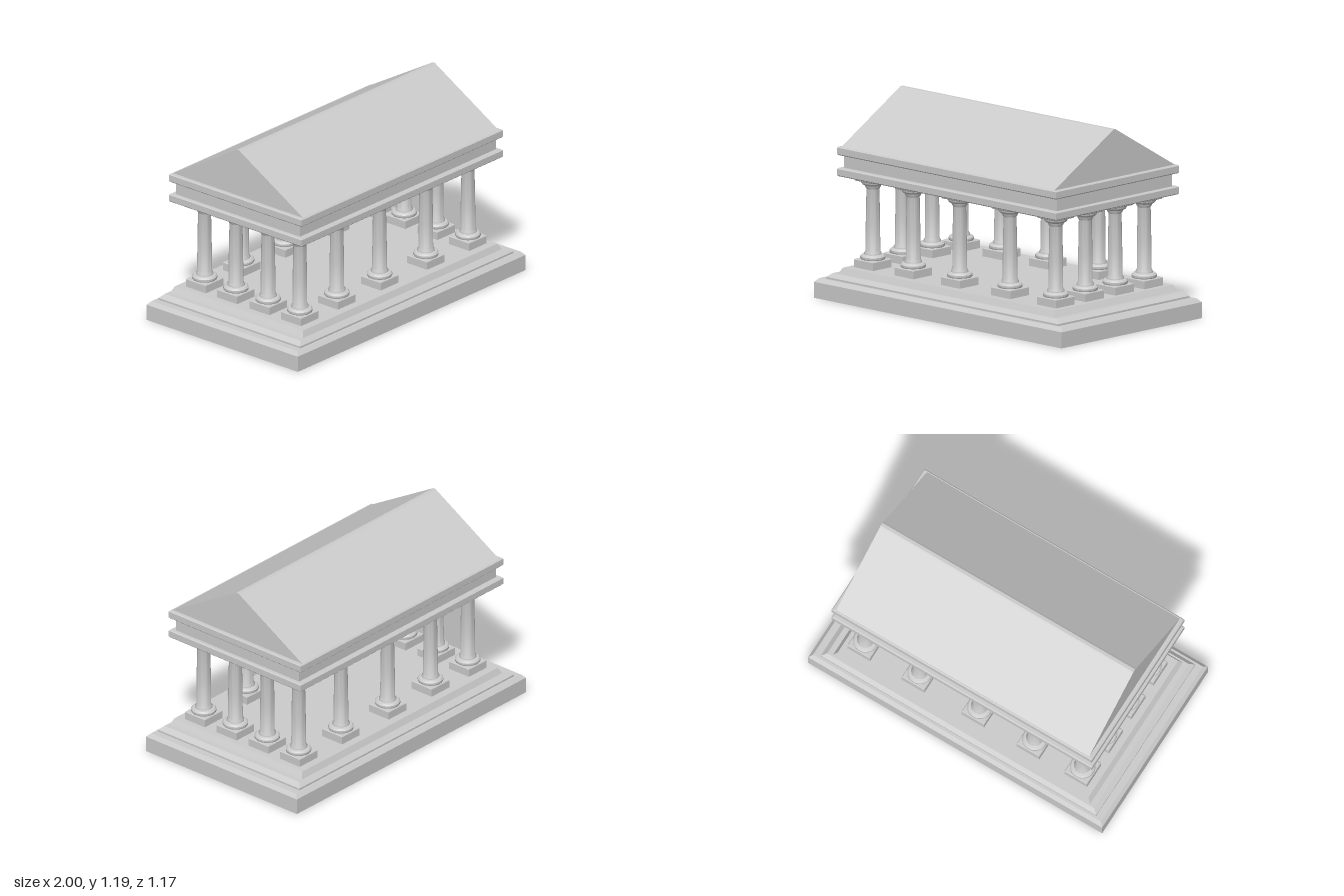
import * as THREE from 'three';
import { toCreasedNormals } from 'three/addons/utils/BufferGeometryUtils.js';

const material = new THREE.MeshStandardMaterial({ color: 0xcccccc });
const openMaterial = new THREE.MeshStandardMaterial({ color: 0xcccccc, side: THREE.DoubleSide });

// Stack of rectangles [halfX, halfZ, y], listed bottom to top, joined by flat faces
function rectLoft(rings, closedBottom = true) {
  const pos = [];
  const corners = ([x, z, y]) => [[x, y, z], [x, y, -z], [-x, y, -z], [-x, y, z]];
  const quad = (a, b, c, d) => pos.push(...a, ...b, ...c, ...a, ...c, ...d);
  for (let i = 0; i < rings.length - 1; i++) {
    const lo = corners(rings[i]), hi = corners(rings[i + 1]);
    for (let k = 0; k < 4; k++) {
      const n = (k + 1) % 4;
      quad(lo[k], lo[n], hi[n], hi[k]);
    }
  }
  quad(...corners(rings[rings.length - 1]));
  if (closedBottom) quad(...corners(rings[0]).reverse());
  const geo = new THREE.BufferGeometry();
  geo.setAttribute('position', new THREE.Float32BufferAttribute(pos, 3));
  geo.computeVertexNormals();
  return geo;
}

function part(name, geometry, parent, mat = material) {
  const mesh = new THREE.Mesh(geometry, mat);
  mesh.name = name;
  parent.add(mesh);
  return mesh;
}

// Slab with softly chamfered edges
function slab(hx, hz, y0, y1) {
  const c = 0.006;
  return rectLoft([
    [hx - c, hz - c, y0], [hx, hz, y0 + c], [hx, hz, y1 - c], [hx - c, hz - c, y1],
  ]);
}

export function createModel() {
  const model = new THREE.Group();
  model.name = 'temple';

  // Stepped base, a hollow shell open underneath
  part('steppedBase', rectLoft([
    [1, 0.583, 0], [1, 0.583, 0.095], [0.98, 0.562, 0.117],
    [0.937, 0.546, 0.117], [0.937, 0.546, 0.128], [0.908, 0.522, 0.151],
    [0.875, 0.511, 0.151], [0.852, 0.495, 0.188],
  ], false), model, openMaterial);

  // Column pieces, shared by all columns
  const plinthGeo = rectLoft([[0.077, 0.077, 0.186], [0.077, 0.077, 0.234], [0.073, 0.073, 0.239]]);
  const abacusGeo = rectLoft([[0.071, 0.071, 0.701], [0.076, 0.076, 0.706], [0.076, 0.076, 0.73]]);
  const profile = [
    [0, 0.238], [0.07, 0.238], [0.074, 0.244], [0.074, 0.256], [0.066, 0.265],
    [0.051, 0.268], [0.051, 0.275], [0.043, 0.288], [0.042, 0.45], [0.038, 0.655],
    [0.046, 0.668], [0.048, 0.676], [0.06, 0.681], [0.068, 0.69], [0.07, 0.703], [0, 0.703],
  ].map(([r, y]) => new THREE.Vector2(r, y));
  const shaftGeo = toCreasedNormals(new THREE.LatheGeometry(profile, 28), 0.6);

  // Colonnade around the edge of the floor
  const colonnade = new THREE.Group();
  colonnade.name = 'colonnade';
  model.add(colonnade);
  const xs = [-0.735, -0.41, -0.035, 0.372, 0.742];
  const zs = [-0.368, -0.126, 0.121, 0.366];
  xs.forEach((x, i) => zs.forEach((z, j) => {
    if (i % 4 !== 0 && j % 3 !== 0) return;
    const column = new THREE.Group();
    column.name = 'column';
    column.position.set(x, 0, z);
    part('plinth', plinthGeo, column);
    part('shaft', shaftGeo, column);
    part('abacus', abacusGeo, column);
    colonnade.add(column);
  }));

  // Entablature
  part('architrave', slab(0.885, 0.511, 0.727, 0.776), model);
  part('frieze', rectLoft([[0.86, 0.477, 0.77], [0.86, 0.477, 0.857]]), model);
  part('cornice', slab(0.885, 0.511, 0.852, 0.902), model);

  // Gabled roof with a slightly blunted ridge, extruded along x
  const gable = new THREE.Shape([
    [-0.503, 0.9], [0.503, 0.9], [0.02, 1.18], [0.01, 1.187], [-0.01, 1.187], [-0.02, 1.18],
  ].map(([z, y]) => new THREE.Vector2(z, y)));
  const roofGeo = new THREE.ExtrudeGeometry(gable, { depth: 1.72, bevelEnabled: false });
  roofGeo.translate(0, 0, -0.86).rotateY(Math.PI / 2);
  part('roof', roofGeo, model);

  return model;
}
